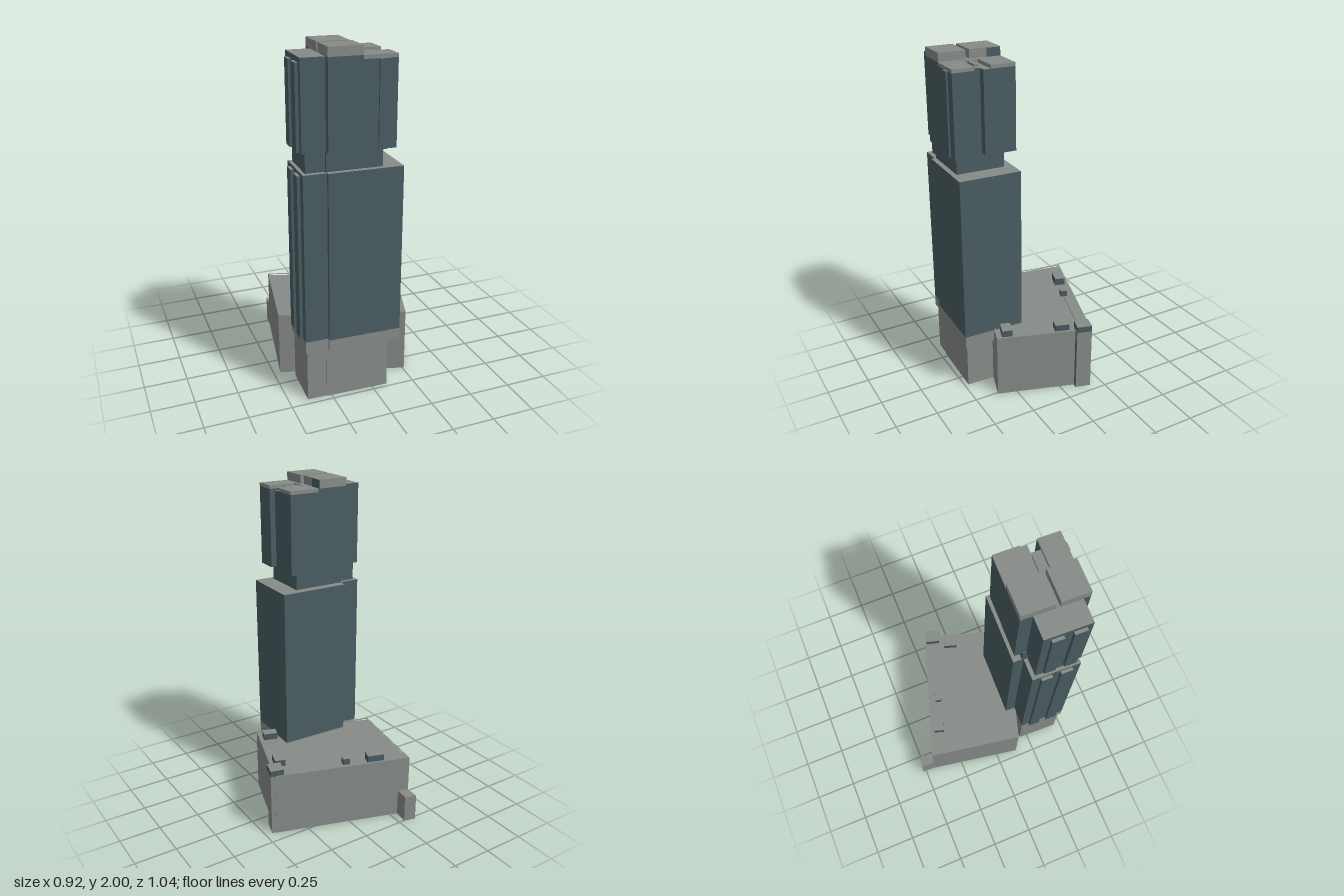
import * as THREE from 'three';

const grey = new THREE.MeshStandardMaterial({ color: 0x868b88 });
grey.name = 'concrete grey';
const blue = new THREE.MeshStandardMaterial({ color: 0x4a5c62 });
blue.name = 'glass blue';

// Outline in [x, z] turned into a shape lying on the ground
const outline = (pts) => new THREE.Shape(pts.map(([x, z]) => new THREE.Vector2(x, -z)));

// Upright prism with grey caps and the given wall colour
function prism(parent, name, pts, y0, y1, wall = grey, hole = null) {
  const shape = outline(pts);
  if (hole) shape.holes.push(outline(hole));
  const geo = new THREE.ExtrudeGeometry(shape, { depth: y1 - y0, bevelEnabled: false });
  geo.rotateX(-Math.PI / 2).translate(0, y0, 0);
  const mesh = new THREE.Mesh(geo, [grey, wall]);
  mesh.name = name;
  parent.add(mesh);
  return mesh;
}

const rect = (x0, x1, z0, z1) => [[x0, z0], [x1, z0], [x1, z1], [x0, z1]];

// Rectangle turned to follow the podium
function turnedRect(cx, cz, w, d, a = 0.31) {
  const c = Math.cos(a), s = Math.sin(a);
  return rect(-w / 2, w / 2, -d / 2, d / 2).map(([x, z]) => [cx + x * c - z * s, cz + x * s + z * c]);
}

function buildPodium() {
  const g = new THREE.Group();
  g.name = 'podium';
  const walls = [[-0.36, -0.435], [0.435, -0.18], [0.26, 0.36], [-0.46, 0.135]];
  const inner = [[-0.352, -0.418], [0.418, -0.173], [0.252, 0.343], [-0.447, 0.126]];
  prism(g, 'podiumBody', walls, 0, 0.374);
  prism(g, 'parapet', walls, 0.374, 0.387, grey, inner);
  prism(g, 'backWing', [[-0.355, -0.52], [-0.285, -0.5], [-0.3, -0.4], [-0.36, -0.42]], 0, 0.165);
  prism(g, 'roofStrip', [[0.035, -0.293], [0.375, -0.185], [0.362, -0.135], [0.017, -0.243]], 0.37, 0.381);

  // Corner column with its glazed slot and cap
  const corner = [[0.38, -0.19], [0.457, -0.17], [0.432, -0.083], [0.355, -0.108]];
  prism(g, 'cornerColumn', corner, 0, 0.385);
  prism(g, 'cornerCap', corner, 0.385, 0.422, blue);
  prism(g, 'cornerGlazing', [[0.404, -0.096], [0.432, -0.087], [0.43, -0.08], [0.402, -0.089]], 0, 0.385, blue);

  // Rooftop plant boxes
  for (const [x, z, w, d, top] of [
    [-0.18, -0.32, 0.1, 0.062, 0.42],
    [-0.012, -0.257, 0.042, 0.04, 0.412],
    [0.326, -0.037, 0.062, 0.086, 0.415],
    [0.211, 0.274, 0.085, 0.061, 0.415],
  ]) prism(g, 'plantBox', turnedRect(x, z, w, d), 0.37, top, blue);
  return g;
}

function buildTower() {
  const g = new THREE.Group();
  g.name = 'tower';
  g.rotation.y = -0.03;
  const main = rect(-0.257, 0.165, 0.137, 0.504);
  const wing = rect(-0.388, -0.25, 0.197, 0.482);

  // Recessed base and overhanging slab
  prism(g, 'baseMain', rect(-0.265, 0.105, 0.15, 0.474), 0, 0.315);
  prism(g, 'baseWing', rect(-0.378, -0.25, 0.21, 0.47), 0, 0.315);
  prism(g, 'slabMain', main, 0.31, 0.38);
  prism(g, 'slabWing', wing, 0.31, 0.38);

  // Shaft
  prism(g, 'shaftMain', main, 0.38, 1.355, blue);
  prism(g, 'shaftWing', wing, 0.38, 1.352, blue);

  // Recessed neck
  prism(g, 'neckMain', rect(-0.26, 0.055, 0.187, 0.474), 1.35, 1.465, blue);
  prism(g, 'neckWing', rect(-0.368, -0.25, 0.22, 0.455), 1.35, 1.465, blue);

  // Upper block, notched on one side
  prism(g, 'upperCore', rect(-0.257, -0.07, 0.137, 0.504), 1.46, 1.95, blue);
  prism(g, 'upperWing', rect(-0.388, -0.25, 0.205, 0.466), 1.46, 1.948, blue);
  prism(g, 'upperSide', [
    [-0.07, 0.139], [0.112, 0.139], [0.112, 0.325], [0.065, 0.325],
    [0.065, 0.378], [0.118, 0.378], [0.118, 0.504], [-0.07, 0.504],
  ], 1.46, 1.93, blue);
  prism(g, 'frontFin', rect(0.015, 0.06, 0.5, 0.515), 1.46, 1.93, blue);

  // Vertical ribs on the wing
  for (const [z0, z1] of [[0.247, 0.312], [0.362, 0.432]]) {
    prism(g, 'shaftRib', rect(-0.406, -0.38, z0, z1), 0.38, 1.335, blue);
    prism(g, 'upperRib', rect(-0.406, -0.38, z0, z1), 1.46, 1.92, blue);
  }

  // Roof curbs around a sunken strip
  prism(g, 'roofBack', rect(-0.07, 0.112, 0.139, 0.283), 1.93, 1.95);
  prism(g, 'roofFront', rect(-0.07, 0.118, 0.378, 0.504), 1.93, 1.95);
  prism(g, 'roofLink', rect(-0.07, -0.05, 0.283, 0.378), 1.93, 1.95);
  prism(g, 'roofUnit', rect(-0.05, 0.04, 0.322, 0.345), 1.93, 1.945);

  // Penthouses
  prism(g, 'penthouseBack', rect(-0.257, -0.08, 0.137, 0.322), 1.95, 2);
  prism(g, 'penthouseFront', rect(-0.257, -0.07, 0.345, 0.504), 1.95, 2);
  prism(g, 'penthousePanel', rect(-0.08, -0.075, 0.139, 0.22), 1.95, 1.999, blue);
  return g;
}

export function createModel() {
  const model = new THREE.Group();
  model.name = 'highRise';
  model.add(buildPodium(), buildTower());
  return model;
}
